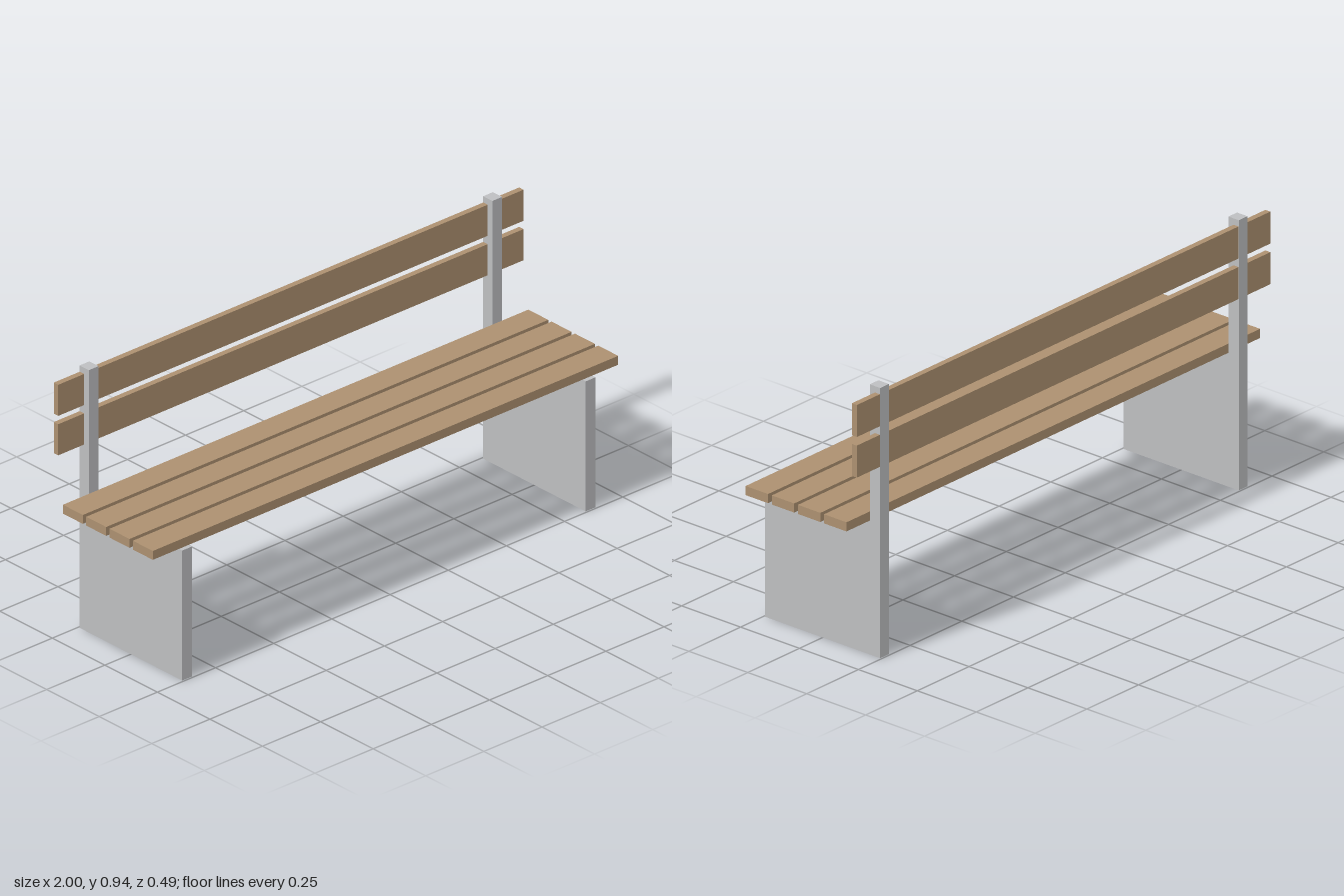
import * as THREE from 'three';

export function createModel() {
  const bench = new THREE.Group();
  bench.name = 'bench';

  const wood = new THREE.MeshStandardMaterial({ color: 0xac9070 });
  wood.name = 'wood';
  const metal = new THREE.MeshStandardMaterial({ color: 0xbdbec0 });
  metal.name = 'grey metal';

  // Plank running the full width of the bench
  function addPlank(name, height, depth, y, z) {
    const plank = new THREE.Mesh(new THREE.BoxGeometry(2, height, depth), wood);
    plank.name = name;
    plank.position.set(0, y, z);
    bench.add(plank);
  }

  // Seat slats
  for (let i = 0; i < 4; i++) addPlank('seatSlat', 0.032, 0.095, 0.484, 0.181 - i * 0.111);

  // Back slats, let into the rear of the posts and just shy of their back face
  for (const y of [0.725, 0.867]) addPlank('backSlat', 0.112, 0.021, y, -0.2325);

  // Side frames: leg panel and back post as one L-shaped profile (drawn as -z, y)
  const thickness = 0.042;
  const profile = new THREE.Shape([
    [-0.244, 0], [0.244, 0], [0.244, 0.945], [0.2, 0.945], [0.2, 0.468], [-0.244, 0.468],
  ].map(([u, v]) => new THREE.Vector2(u, v)));
  const frameGeometry = new THREE.ExtrudeGeometry(profile, { depth: thickness, bevelEnabled: false });
  frameGeometry.translate(0, 0, -thickness / 2).rotateY(Math.PI / 2);

  for (const side of [-1, 1]) {
    const frame = new THREE.Mesh(frameGeometry, metal);
    frame.name = side > 0 ? 'leftFrame' : 'rightFrame';
    frame.position.x = side * 0.867;
    bench.add(frame);
  }

  return bench;
}
